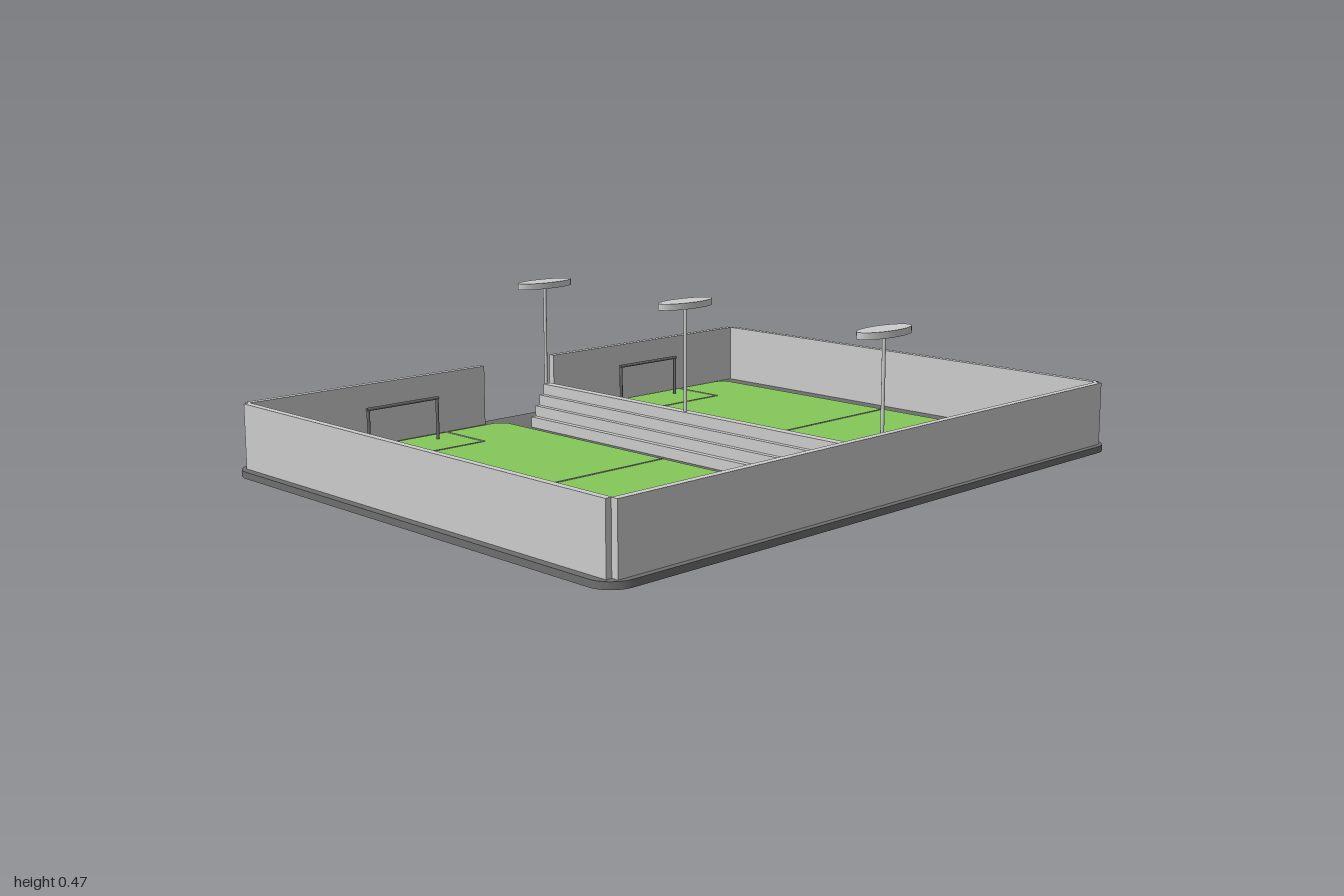
import * as THREE from 'three';

const grey = new THREE.MeshStandardMaterial({ color: 0xcccccc });
const dark = new THREE.MeshStandardMaterial({ color: 0x6e6e6e });
const green = new THREE.MeshStandardMaterial({ color: 0x85c958 });

function add(parent, name, geometry, material, x = 0, y = 0, z = 0) {
  const mesh = new THREE.Mesh(geometry, material);
  mesh.name = name;
  mesh.position.set(x, y, z);
  parent.add(mesh);
  return mesh;
}

// Box given by its bounds
function block(parent, name, material, x0, x1, y0, y1, z0, z1) {
  return add(parent, name, new THREE.BoxGeometry(x1 - x0, y1 - y0, z1 - z0), material,
    (x0 + x1) / 2, (y0 + y1) / 2, (z0 + z1) / 2);
}

// Flat slab with rounded corners, lying on its underside
function slab(w, d, h, r) {
  const s = new THREE.Shape();
  const x = w / 2, y = d / 2;
  s.absarc(x - r, y - r, r, 0, Math.PI / 2);
  s.absarc(-x + r, y - r, r, Math.PI / 2, Math.PI);
  s.absarc(-x + r, -y + r, r, Math.PI, Math.PI * 1.5);
  s.absarc(x - r, -y + r, r, Math.PI * 1.5, Math.PI * 2);
  s.closePath();
  return new THREE.ExtrudeGeometry(s, { depth: h, bevelEnabled: false, curveSegments: 10 })
    .rotateX(-Math.PI / 2);
}

// One pitch with its markings and two goals
function createPitch(name, x, z) {
  const g = new THREE.Group();
  g.name = name;
  g.position.set(x, 0.02, z);
  add(g, 'turf', slab(0.82, 1.43, 0.004, 0.04), green);
  const t = 0.003, lo = 0.003, hi = 0.006;
  block(g, 'halfwayLine', grey, -0.41, 0.41, lo, hi, -t, t);
  for (const s of [-1, 1]) {
    const end = new THREE.Group();
    end.name = s < 0 ? 'backEnd' : 'frontEnd';
    g.add(end);
    // Penalty area
    block(end, 'areaFrontLine', grey, -0.195, 0.195, lo, hi, s * 0.533 - t, s * 0.533 + t);
    for (const m of [-1, 1]) {
      add(end, 'areaSideLine', new THREE.BoxGeometry(2 * t, hi - lo, 0.18), grey,
        m * 0.195, (lo + hi) / 2, s * 0.623);
      // Goal frame
      add(end, 'goalPost', new THREE.CylinderGeometry(0.005, 0.005, 0.125, 10), dark,
        m * 0.122, 0.0645, s * 0.66);
    }
    add(end, 'goalCrossbar', new THREE.CylinderGeometry(0.005, 0.005, 0.254, 10).rotateZ(Math.PI / 2),
      dark, 0, 0.127, s * 0.66);
  }
  return g;
}

export function createModel() {
  const model = new THREE.Group();
  model.name = 'footballCentre';

  add(model, 'base', slab(2, 1.545, 0.019, 0.07), dark, 0, 0.001, 0);

  // Perimeter walls, open in the middle of the back
  const walls = new THREE.Group();
  walls.name = 'walls';
  model.add(walls);
  block(walls, 'frontWall', grey, -0.96, 0.96, 0, 0.203, 0.735, 0.755);
  for (const s of [-1, 1]) {
    add(walls, 'sideWall', new THREE.BoxGeometry(0.02, 0.203, 1.47), grey, s * 0.967, 0.1015, 0);
    add(walls, 'backWall', new THREE.BoxGeometry(0.82, 0.203, 0.02), grey, s * 0.55, 0.1015, -0.745);
  }

  model.add(createPitch('rightPitch', -0.5, 0), createPitch('leftPitch', 0.49, -0.005));

  // Double-sided stepped stand, extruded from its profile
  const steps = [0.064, 0.046, 0.03, 0.014];
  const rise = 0.032;
  const half = [];
  steps.forEach((x, i) => half.push([x, i * rise], [x, (i + 1) * rise]));
  const profile = [...half, ...half.map(([x, y]) => [-x, y]).reverse()]
    .map(([x, y]) => new THREE.Vector2(x, y));
  add(model, 'steppedStand',
    new THREE.ExtrudeGeometry(new THREE.Shape(profile), { depth: 1.32, bevelEnabled: false }),
    grey, 0, 0.02, -0.605);

  // Floodlights along the stand
  for (const z of [-0.608, 0, 0.712]) {
    const light = new THREE.Group();
    light.name = 'floodlight';
    light.position.z = z;
    add(light, 'mast', new THREE.CylinderGeometry(0.005, 0.005, 0.43, 12), grey, 0, 0.235, 0);
    add(light, 'lampDisc', new THREE.CylinderGeometry(0.1, 0.1, 0.018, 40), grey, 0, 0.456, 0)
      .scale.z = 0.4;
    model.add(light);
  }
  return model;
}
